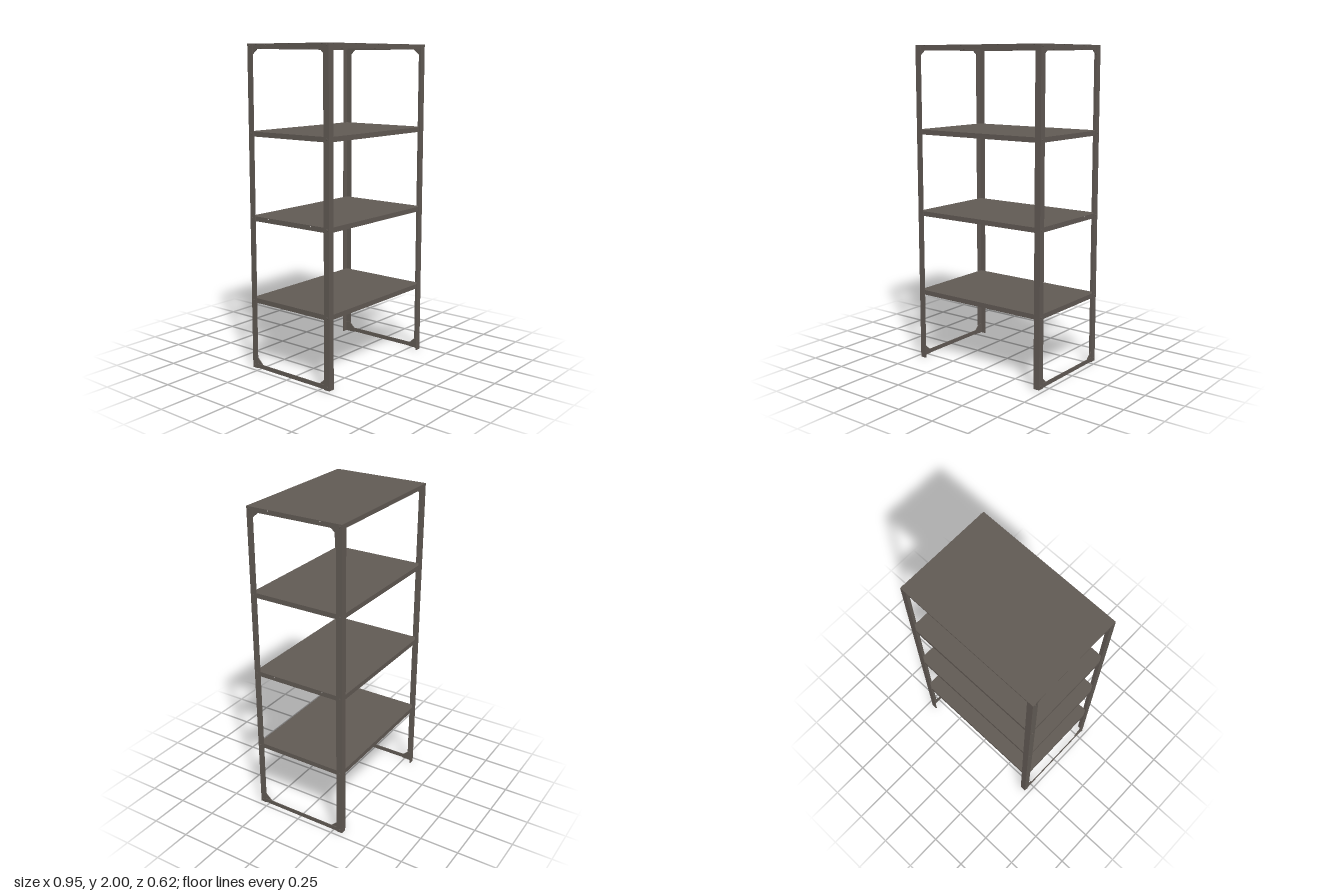
import * as THREE from 'three';

const W = 0.47, D = 0.3125, H = 2, T = 0.005, LEG = 0.04, RIM = 0.03;

export function createModel() {
  const model = new THREE.Group();
  const steel = new THREE.MeshStandardMaterial({ color: 0x615a54 });
  steel.name = 'dark steel';

  const add = (parent, name, geometry, x, y, z) => {
    const mesh = new THREE.Mesh(geometry, steel);
    mesh.name = name;
    mesh.position.set(x, y, z);
    parent.add(mesh);
    return mesh;
  };
  const box = (parent, name, w, h, d, x, y, z) =>
    add(parent, name, new THREE.BoxGeometry(w, h, d), x, y, z);

  // A thin plate drawn in (z, y) and set in the plane of a side, centred on x
  const sidePlate = (parent, name, points, x) => {
    const shape = new THREE.Shape(points.map(([z, y]) => new THREE.Vector2(-z, y)));
    const g = new THREE.ExtrudeGeometry(shape, { depth: T, bevelEnabled: false });
    g.translate(0, 0, -T / 2).rotateY(Math.PI / 2);
    return add(parent, name, g, x, 0, 0);
  };

  // Angle-iron posts with their corner on the outside
  for (const sx of [-1, 1]) for (const sz of [-1, 1]) {
    const post = new THREE.Group();
    post.name = 'post';
    box(post, 'postFaceFlange', LEG, H - 0.004, T, sx * (W - LEG / 2), H / 2 - 0.002, sz * (D - T / 2));
    box(post, 'postSideFlange', T, H - 0.004, LEG - T, sx * (W - T / 2), H / 2 - 0.002, sz * (D - T - (LEG - T) / 2));
    model.add(post);

    // Corner gussets at the top and bottom of each side
    const a = sz * (D - T), b = sz * 0.275, c = sz * 0.235;
    const x = sx * (W - T * 1.5);
    sidePlate(model, 'bottomGusset', [[a, 0.004], [c, 0.004], [c, 0.03], [b, 0.066], [a, 0.066]], x);
    sidePlate(model, 'topGusset', [[a, 1.994], [c, 1.994], [c, 1.972], [b, 1.94], [a, 1.94]], x);
  }

  // Low rail joining the feet on each side
  for (const sx of [-1, 1])
    box(model, 'footRail', T, 0.026, 2 * (D - LEG), sx * (W - T / 2), 0.017, 0);

  // Shelves: trays with folded-down rims; two of them have notched side rims
  [0.455, 0.97, 1.485, 2].forEach((top, i) => {
    const shelf = new THREE.Group();
    shelf.name = 'shelf';
    const roof = i === 3;
    const hw = roof ? W : W - T, hd = roof ? D : D - T;
    box(shelf, 'shelfTop', 2 * hw, 0.004, 2 * hd, 0, top - 0.002, 0);
    const low = top - RIM, up = top - 0.004;
    for (const s of [-1, 1]) {
      box(shelf, 'longRim', 2 * (W - T), up - low, T, 0, (up + low) / 2, s * (D - T * 1.5));
      const edge = [[-D + T * 2, low], [D - T * 2, low], [D - T * 2, up]];
      if (i % 2) for (const z of [0.17, -0.17])
        edge.push([z + 0.006, up], [z, up - 0.012], [z - 0.006, up]);
      edge.push([-D + T * 2, up]);
      sidePlate(shelf, 'sideRim', edge, s * (W - T * 1.5));
    }
    model.add(shelf);
  });

  // Bolt heads on the side flanges
  const bolt = new THREE.CylinderGeometry(0.007, 0.007, 0.006, 6).rotateZ(Math.PI / 2);
  for (const y of [0.02, 0.44, 0.957, 1.472, 1.987])
    for (const sx of [-1, 1]) for (const sz of [-1, 1])
      add(model, 'bolt', bolt, sx * (W + 0.002), y, sz * 0.296);

  return model;
}
